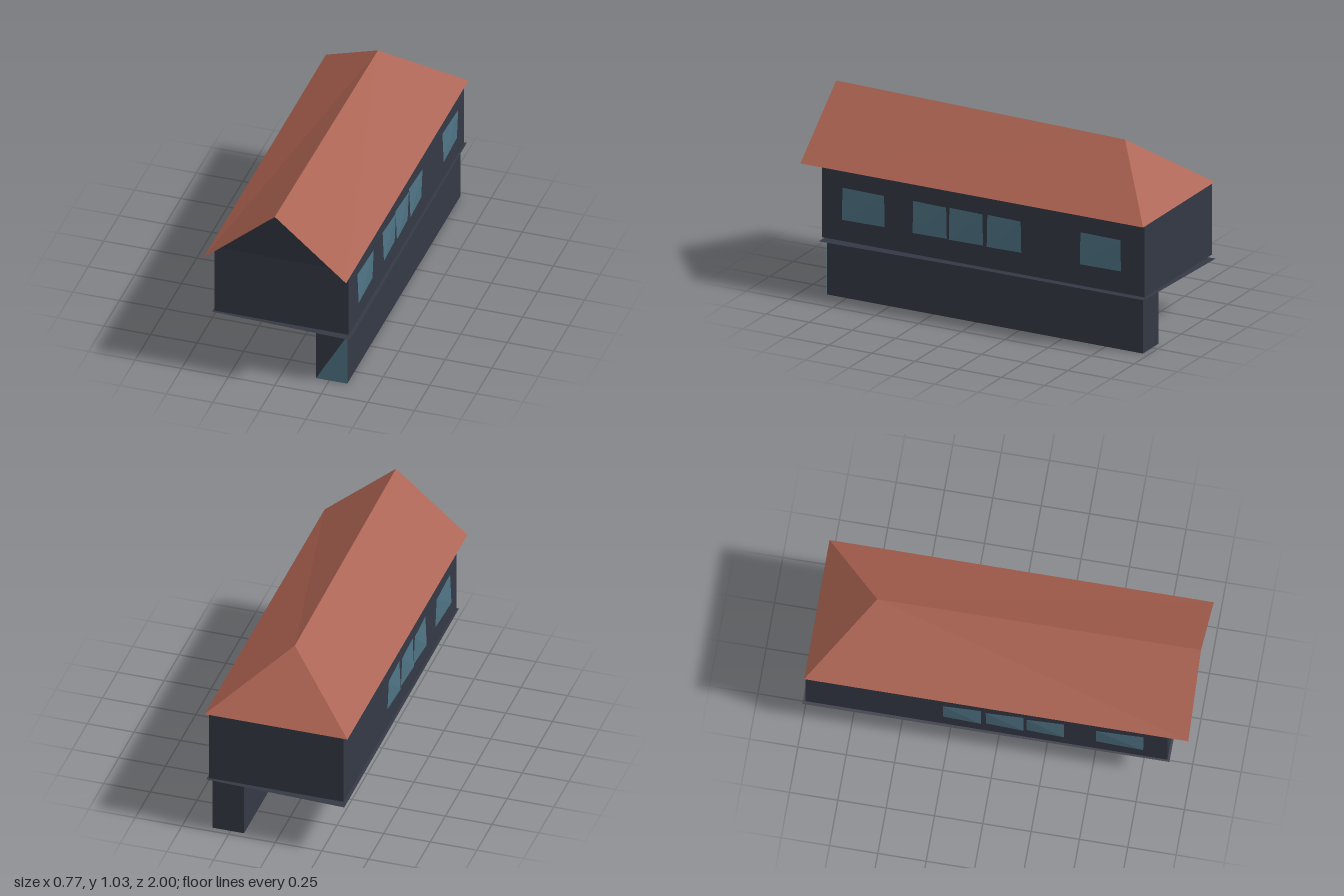
import * as THREE from 'three';

const material = (name, color) => {
  const m = new THREE.MeshStandardMaterial({ color, side: THREE.DoubleSide });
  m.name = name;
  return m;
};

export function createModel() {
  const model = new THREE.Group();
  model.name = 'house';
  const wall = material('dark slate wall', 0x343945);
  const glass = material('blue glass', 0x507586);
  const tile = material('terracotta roof', 0xaa6150);
  const stone = material('pale grey underside', 0xd8d4c4);

  const add = (name, geometry, mat) => {
    const mesh = new THREE.Mesh(geometry, mat);
    mesh.name = name;
    model.add(mesh);
    return mesh;
  };
  // Box given by its limits on each axis
  const box = (name, [x0, x1], [y0, y1], [z0, z1], mat) => {
    const mesh = add(name, new THREE.BoxGeometry(x1 - x0, y1 - y0, z1 - z0), mat);
    mesh.position.set((x0 + x1) / 2, (y0 + y1) / 2, (z0 + z1) / 2);
  };
  // Flat-shaded triangles from corner points, three per face
  const triangles = (name, corners, mat) => {
    const g = new THREE.BufferGeometry();
    g.setAttribute('position', new THREE.Float32BufferAttribute(corners.flat(), 3));
    g.computeVertexNormals();
    add(name, g, mat);
  };

  // Upper storey
  box('upperStorey', [-0.36, 0.36], [0.312, 0.7], [-0.984, 0.888], wall);

  // Gable leaning out to the front of the ridge
  triangles('frontGable', [[-0.36, 0.7, 0.888], [0.36, 0.7, 0.888], [0, 1.022, 0.998]], wall);

  // Roof with an open front and a hipped back; the ridge falls slightly backwards
  const ridgeF = [0, 1.027, 1], ridgeB = [0, 1, -0.675];
  const eave = (s, z) => [s * 0.383, 0.7, z];
  triangles('leftRoofSlope', [
    ridgeF, eave(1, 1), ridgeB,
    eave(1, 1), eave(1, -0.988), ridgeB], tile);
  triangles('rightRoofSlope', [
    ridgeF, ridgeB, eave(-1, 1),
    eave(-1, 1), ridgeB, eave(-1, -0.988)], tile);
  triangles('backRoofHip', [eave(1, -0.988), eave(-1, -0.988), ridgeB], tile);

  // Floor: a thin twisted wedge, dark above and pale below
  const frontR = [-0.37, 0.311, 0.9], frontL = [0.37, 0.29, 0.9];
  const backR = [-0.37, 0.29, -1], backL = [0.37, 0.311, -1];
  triangles('floorTop', [frontR, frontL, backL, frontR, backL, backR], wall);
  triangles('floorUnderside', [frontR, backR, frontL, frontL, backR, backL], stone);

  // Narrow ground storey under the left side
  box('groundStorey', [0.178, 0.346], [0, 0.29], [-0.967, 0.867], wall);
  triangles('groundFrontGlass', [
    [0.178, 0, 0.869], [0.346, 0, 0.869], [0.346, 0.29, 0.869]], glass);

  // Side windows, thin twisted wedges of glass; only the left side has the rearmost one
  const spans = [[0.52, 0.765], [0.16, 0.355], [-0.05, 0.145], [-0.272, -0.075], [-0.85, -0.615]];
  const inner = 0.366, outer = 0.373, low = 0.432, high = 0.604;
  for (const side of [1, -1]) {
    spans.slice(0, side > 0 ? 5 : 4).forEach(([z0, z1], i) => {
      const a = [side * outer, low, z1], b = [side * inner, low, z0];
      const c = [side * outer, high, z0], d = [side * inner, high, z1];
      const faces = [a, b, c, a, c, d, a, d, b, b, d, c];
      if (side < 0) faces.reverse();
      triangles(`${side > 0 ? 'left' : 'right'}Window${i + 1}`, faces, glass);
    });
  }
  return model;
}
